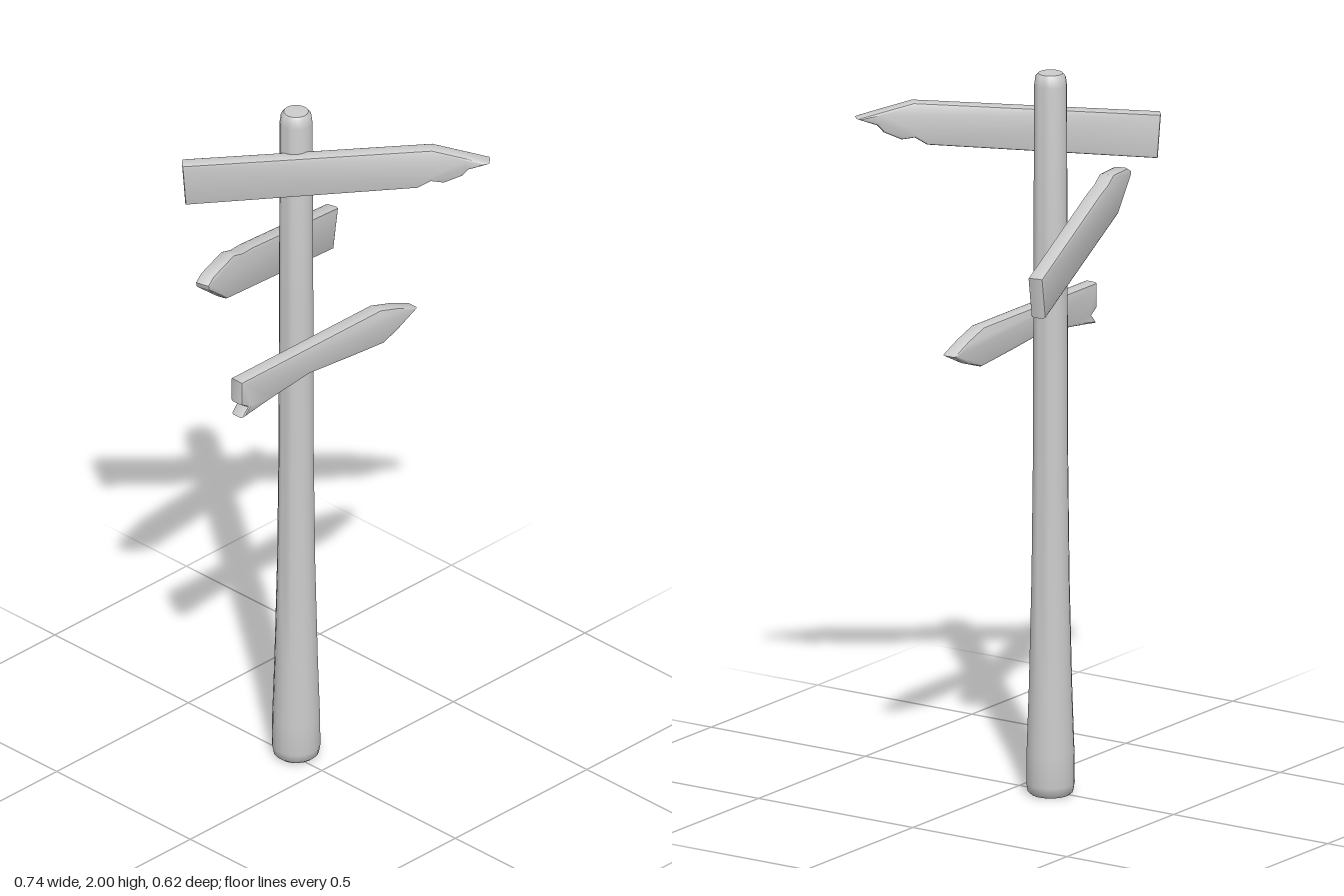
import * as THREE from 'three';
import { toCreasedNormals } from 'three/addons/utils/BufferGeometryUtils.js';

const material = new THREE.MeshStandardMaterial({ color: 0xcccccc });
const THICKNESS = 0.043;
const BEVEL = 0.008;

// A plank cut from an outline (as projected on the xy plane), turned by yaw about the y axis.
// z is the depth of its centre line at x = 0.
function board(name, outline, yaw, z) {
  const stretch = 1 / Math.cos(yaw);
  const shape = new THREE.Shape(outline.map(([x, y]) => new THREE.Vector2(x * stretch, y)));
  const geometry = new THREE.ExtrudeGeometry(shape, {
    depth: THICKNESS - 2 * BEVEL,
    bevelThickness: BEVEL,
    bevelSize: BEVEL,
    bevelOffset: -BEVEL,
    bevelSegments: 2,
  });
  geometry.translate(0, 0, BEVEL - THICKNESS / 2);
  const mesh = new THREE.Mesh(toCreasedNormals(geometry, 0.7), material);
  mesh.name = name;
  mesh.rotation.y = yaw;
  mesh.position.z = z;
  return mesh;
}

export function createModel() {
  const group = new THREE.Group();
  group.name = 'signpost';

  // Post: flared foot, softened rims
  const profile = [
    [0, 0], [0.052, 0], [0.061, 0.008], [0.065, 0.03], [0.064, 0.12], [0.058, 0.3], [0.051, 0.6],
    [0.047, 0.95], [0.046, 1.4], [0.044, 1.965], [0.041, 1.988], [0.033, 1.998], [0, 2],
  ].map(([r, y]) => new THREE.Vector2(r, y));
  const post = new THREE.Mesh(toCreasedNormals(new THREE.LatheGeometry(profile, 18), 0.8), material);
  post.name = 'post';
  post.position.set(0.016, 0, -0.112);
  group.add(post);

  // Lower board: points to +x, chipped at its square end
  group.add(board('lowerBoard', [
    [-0.3, 1.332], [-0.3, 1.262], [-0.276, 1.247], [-0.298, 1.22], [-0.19, 1.234], [-0.04, 1.25],
    [0.1, 1.236], [0.24, 1.224], [0.29, 1.241], [0.37, 1.28], [0.3, 1.31], [0.23, 1.332],
  ], 0, -0.025));

  // Middle board: points to -x, behind the post
  group.add(board('middleBoard', [
    [-0.369, 1.635], [-0.365, 1.62], [-0.27, 1.542], [0.28, 1.402], [0.305, 1.518],
    [-0.14, 1.633], [-0.19, 1.642], [-0.235, 1.66], [-0.34, 1.65],
  ], 0.255, -0.182));

  // Upper board: points to the front and +x, splintered under its tip
  group.add(board('upperBoard', [
    [-0.225, 1.862], [-0.219, 1.74], [0.205, 1.803], [0.228, 1.824], [0.252, 1.82], [0.285, 1.842],
    [0.297, 1.862], [0.335, 1.882], [0.29, 1.9], [0.23, 1.922],
  ], -0.82, -0.06));

  return group;
}
